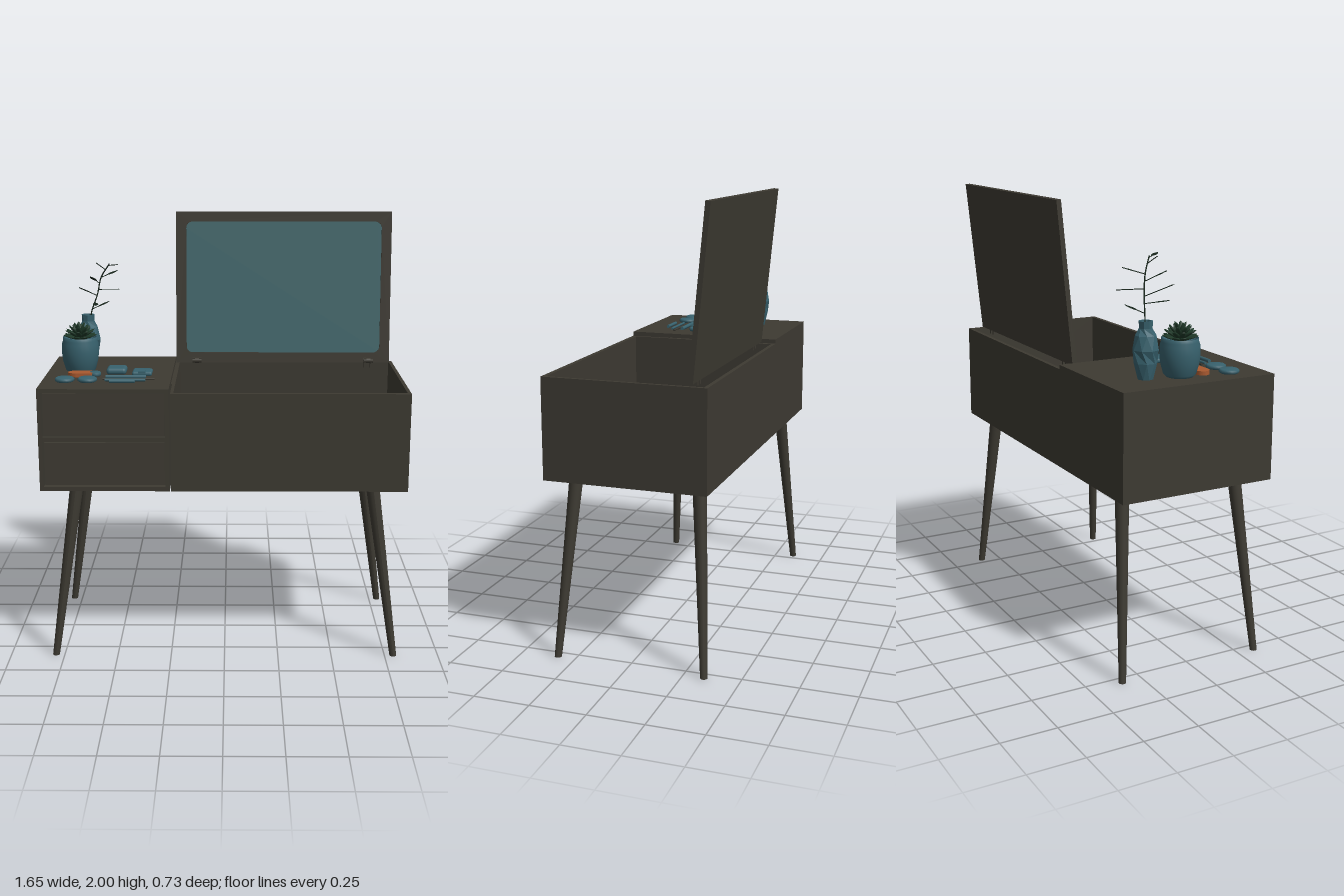
import * as THREE from 'three';
import { RoundedBoxGeometry } from 'three/addons/geometries/RoundedBoxGeometry.js';

const mat = (name, color, side = THREE.FrontSide) => {
  const m = new THREE.MeshStandardMaterial({ color, side });
  m.name = name;
  return m;
};
const wood = mat('dark wood', 0x3d3a32);
const glass = mat('mirror glass', 0x43686c);
const teal = mat('teal ceramic', 0x38626e, THREE.DoubleSide);
const orange = mat('orange', 0xa8592f);
const green = mat('succulent green', 0x1f3a29, THREE.DoubleSide);
const dark = mat('dark leaf', 0x18261c, THREE.DoubleSide);

const V = (x, y, z) => new THREE.Vector3(x, y, z);

function add(parent, name, geo, material, x = 0, y = 0, z = 0) {
  const m = new THREE.Mesh(geo, material);
  m.name = name;
  m.position.set(x, y, z);
  parent.add(m);
  return m;
}

// box given by its minimum and maximum corners
function box(parent, name, a, b, material = wood) {
  const s = b.map((v, i) => v - a[i]);
  return add(parent, name, new THREE.BoxGeometry(...s), material, ...a.map((v, i) => v + s[i] / 2));
}

function roundedRect(path, x0, y0, x1, y1, r) {
  path.moveTo(x0 + r, y0).lineTo(x1 - r, y0).absarc(x1 - r, y0 + r, r, -Math.PI / 2, 0);
  path.lineTo(x1, y1 - r).absarc(x1 - r, y1 - r, r, 0, Math.PI / 2);
  path.lineTo(x0 + r, y1).absarc(x0 + r, y1 - r, r, Math.PI / 2, Math.PI);
  path.lineTo(x0, y0 + r).absarc(x0 + r, y0 + r, r, Math.PI, Math.PI * 1.5);
  return path;
}

const lathe = (pts, n) => new THREE.LatheGeometry(pts.map(p => new THREE.Vector2(...p)), n);

// pointed leaf growing along +y
function leafGeometry(length, width) {
  const s = new THREE.Shape();
  s.moveTo(0, 0).quadraticCurveTo(width, length * 0.5, 0, length).quadraticCurveTo(-width, length * 0.5, 0, 0);
  return new THREE.ShapeGeometry(s, 6);
}

// turn a mesh so its +y follows dir and its face looks upward
function aim(mesh, dir) {
  const y = dir.clone().normalize();
  const x = y.clone().cross(V(0, 1, 0)).normalize();
  mesh.quaternion.setFromRotationMatrix(new THREE.Matrix4().makeBasis(x, y, x.clone().cross(y)));
}

function buildCabinet(g) {
  const c = new THREE.Group();
  c.name = 'drawerCabinet';
  const x0 = -0.83, x1 = -0.246, y0 = 0.815, y1 = 1.285, zf = 0.365;
  box(c, 'cabinetCore', [x0, y0, -0.365], [x1, y1, 0.335]);
  // frame around the drawers
  box(c, 'frameTop', [x0, 1.267, 0.335], [x1, y1, zf]);
  box(c, 'frameBottom', [x0, y0, 0.335], [x1, 0.835, zf]);
  box(c, 'frameLeft', [x0, 0.835, 0.335], [x0 + 0.018, 1.267, zf]);
  box(c, 'frameRight', [x1 - 0.018, 0.835, 0.335], [x1, 1.267, zf]);
  box(c, 'frameDivider', [x0 + 0.018, 1.042, 0.335], [x1 - 0.018, 1.062, 0.352]);
  // drawer fronts, slightly leaning out toward the bottom
  for (const [lo, hi] of [[0.84, 1.035], [1.07, 1.262]]) {
    const d = box(c, 'drawerFront', [x0 + 0.024, lo, 0.32], [x1 - 0.022, hi, 0.353]);
    d.rotation.x = -0.03;
  }
  g.add(c);
}

function buildBin(g) {
  const b = new THREE.Group();
  b.name = 'storageBin';
  const x0 = -0.24, x1 = 0.825, y0 = 0.815, y1 = 1.265;
  box(b, 'binFloor', [x0, y0, -0.365], [x1, 0.837, 0.365]);
  box(b, 'binFront', [x0, 0.837, 0.345], [x1, y1, 0.365]);
  box(b, 'binBack', [x0, 0.837, -0.365], [x1, y1, -0.347]);
  box(b, 'binLeftWall', [x0, 0.837, -0.347], [x0 + 0.014, y1, 0.345]);
  box(b, 'binRightWall', [x1 - 0.016, 0.837, -0.347], [x1, y1, 0.345]);
  box(b, 'joiningStrip', [-0.246, y0, -0.365], [x0, y1, 0.17]);
  g.add(b);
}

function buildLid(g) {
  const lid = new THREE.Group();
  lid.name = 'mirrorLid';
  lid.position.set(0, 1.273, -0.285);
  lid.rotation.x = -0.098;
  box(lid, 'lidBack', [-0.24, 0, -0.012], [0.802, 0.73, 0]);
  const s = new THREE.Shape();
  s.moveTo(-0.24, 0).lineTo(0.802, 0).lineTo(0.802, 0.73).lineTo(-0.24, 0.73).closePath();
  s.holes.push(roundedRect(new THREE.Path(), -0.19, 0.05, 0.754, 0.682, 0.03));
  add(lid, 'lidFrame', new THREE.ExtrudeGeometry(s, { depth: 0.01, bevelEnabled: false, curveSegments: 6 }), wood);
  const m = roundedRect(new THREE.Shape(), -0.19, 0.05, 0.754, 0.682, 0.03);
  add(lid, 'mirror', new THREE.ShapeGeometry(m, 6), glass, 0, 0, 0.006);
  g.add(lid);
  // hinges
  for (const x of [-0.14, 0.7]) {
    const k = add(g, 'hingeKnuckle', new THREE.CylinderGeometry(0.013, 0.013, 0.045, 10), wood, x, 1.285, -0.272);
    k.rotation.z = Math.PI / 2;
    for (const dx of [-0.016, 0.016]) box(g, 'hingeTab', [x + dx - 0.006, 1.25, -0.29], [x + dx + 0.006, 1.298, -0.262]);
  }
}

function buildLegs(g) {
  for (const sx of [-1, 1]) for (const front of [true, false]) {
    const top = V(sx * 0.675, 0.82, front ? 0.275 : -0.285);
    const foot = V(sx * 0.79, 0, front ? 0.332 : -0.343);
    const geo = new THREE.CylinderGeometry(0.031, 0.016, 0.82, 16);
    // slant the leg while keeping its ends level
    geo.applyMatrix4(new THREE.Matrix4().set(
      1, (top.x - foot.x) / 0.82, 0, 0, 0, 1, 0, 0, 0, (top.z - foot.z) / 0.82, 1, 0, 0, 0, 0, 1));
    geo.computeVertexNormals();
    add(g, front ? 'frontLeg' : 'backLeg', geo, wood, (top.x + foot.x) / 2, 0.41, (top.z + foot.z) / 2);
  }
}

function buildSucculent(g) {
  const p = new THREE.Group();
  p.name = 'pottedSucculent';
  p.position.set(-0.677, 1.285, -0.012);
  add(p, 'pot', lathe([[0, 0], [0.058, 0], [0.07, 0.012], [0.083, 0.06], [0.087, 0.1], [0.085, 0.135],
    [0.08, 0.15], [0.08, 0.165], [0.072, 0.165], [0.072, 0.145], [0, 0.145]], 28), teal);
  // rosette rings: count, tilt above level, leaf length
  [[11, 0.3, 0.082], [10, 0.55, 0.08], [8, 0.85, 0.075], [5, 1.2, 0.07]].forEach(([n, tilt, len], r) => {
    const geo = new THREE.SphereGeometry(1, 6, 5);
    geo.translate(0, 1, 0).scale(0.017 - r * 0.002, len / 2, 0.006);
    for (let i = 0; i < n; i++) {
      const a = (i + r * 0.5) / n * Math.PI * 2;
      const leaf = add(p, 'succulentLeaf', geo, green, 0, 0.152 + r * 0.005, 0);
      aim(leaf, V(Math.cos(a) * Math.cos(tilt), Math.sin(tilt), Math.sin(a) * Math.cos(tilt)));
    }
  });
  g.add(p);
}

function buildVase(g) {
  const p = new THREE.Group();
  p.name = 'vaseWithTwig';
  // faceted vase: alternate rings are turned by half a side
  let geo = lathe([[0, 0], [0.034, 0], [0.05, 0.07], [0.057, 0.125], [0.045, 0.185], [0.029, 0.215], [0.031, 0.245], [0.024, 0.245], [0.02, 0.19]], 8);
  const pos = geo.attributes.position, v = V(0, 0, 0);
  for (let i = 0; i < pos.count; i++) {
    v.fromBufferAttribute(pos, i).applyAxisAngle(V(0, 1, 0), [2, 4].includes(i % 9) ? Math.PI / 8 : 0);
    pos.setXYZ(i, v.x, v.y, v.z);
  }
  geo = geo.toNonIndexed();
  geo.computeVertexNormals();
  add(p, 'vase', geo, teal, -0.655, 1.285, -0.165);
  const stem = new THREE.CatmullRomCurve3([V(-0.655, 1.3, -0.165), V(-0.64, 1.53, -0.16), V(-0.605, 1.63, -0.145), V(-0.585, 1.71, -0.13), V(-0.54, 1.78, -0.085)]);
  add(p, 'stem', new THREE.TubeGeometry(stem, 24, 0.003, 5), dark);
  // leaves: place along the stem, tip
  [[0.5, -0.56, 1.585, -0.21], [0.58, -0.6, 1.595, -0.02], [0.64, -0.68, 1.675, -0.05], [0.7, -0.51, 1.642, -0.225],
    [0.76, -0.625, 1.725, -0.05], [0.82, -0.515, 1.735, -0.2], [0.92, -0.6, 1.785, -0.08], [0.98, -0.495, 1.785, -0.02]].forEach(([t, ...tip]) => {
    const a = stem.getPointAt(t), b = V(...tip), dir = b.clone().sub(a), len = dir.length();
    add(p, 'leafStalk', new THREE.TubeGeometry(new THREE.LineCurve3(a, b), 1, 0.002, 4), dark);
    const start = a.clone().addScaledVector(dir, 0.3);
    aim(add(p, 'leaf', leafGeometry(len * 0.75, 0.025), dark, start.x, start.y, start.z), dir);
  });
  g.add(p);
}

function buildCosmetics(g) {
  const p = new THREE.Group();
  p.name = 'cosmetics';
  const disc = r => lathe([[0, 0], [r * 0.85, 0], [r, 0.005], [r, 0.014], [r * 0.85, 0.019], [0, 0.021]], 20);
  add(p, 'powderTin', disc(0.044), teal, -0.725, 1.285, 0.205);
  add(p, 'powderTin', disc(0.044), teal, -0.622, 1.285, 0.205);
  add(p, 'smallTin', disc(0.028), teal, -0.6, 1.285, 0.085);
  add(p, 'compact', new RoundedBoxGeometry(0.092, 0.032, 0.092, 3, 0.015), teal, -0.5, 1.309, 0.067);
  add(p, 'compact', new RoundedBoxGeometry(0.092, 0.022, 0.092, 3, 0.01), teal, -0.383, 1.296, 0.058);
  add(p, 'compactClasp', new THREE.BoxGeometry(0.035, 0.01, 0.03), teal, -0.383, 1.305, 0.09);
  // orange sponge
  const s = new THREE.Shape();
  s.moveTo(-0.06, 0).quadraticCurveTo(-0.055, 0.035, 0, 0.032).lineTo(0.05, 0.028)
    .quadraticCurveTo(0.065, 0, 0.05, -0.032).lineTo(-0.02, -0.035).quadraticCurveTo(-0.055, -0.03, -0.06, 0);
  const sponge = new THREE.ExtrudeGeometry(s, { depth: 0.018, bevelEnabled: false }).rotateX(-Math.PI / 2);
  add(p, 'sponge', sponge, orange, -0.665, 1.286, 0.09);
  // pencils and brushes lying along x: ends, z, radius
  for (const [x0, x1, z, r] of [[-0.545, -0.36, 0.148, 0.009], [-0.555, -0.32, 0.178, 0.005], [-0.545, -0.36, 0.202, 0.006], [-0.52, -0.405, 0.238, 0.008]]) {
    const geo = new THREE.CylinderGeometry(r, r, x1 - x0, 10).rotateZ(Math.PI / 2);
    add(p, 'pencil', geo, r === 0.005 ? wood : teal, (x0 + x1) / 2, 1.285 + r, z);
  }
  g.add(p);
}

export function createModel() {
  const g = new THREE.Group();
  g.name = 'dressingTable';
  for (const build of [buildCabinet, buildBin, buildLid, buildLegs, buildSucculent, buildVase, buildCosmetics]) build(g);
  return g;
}
